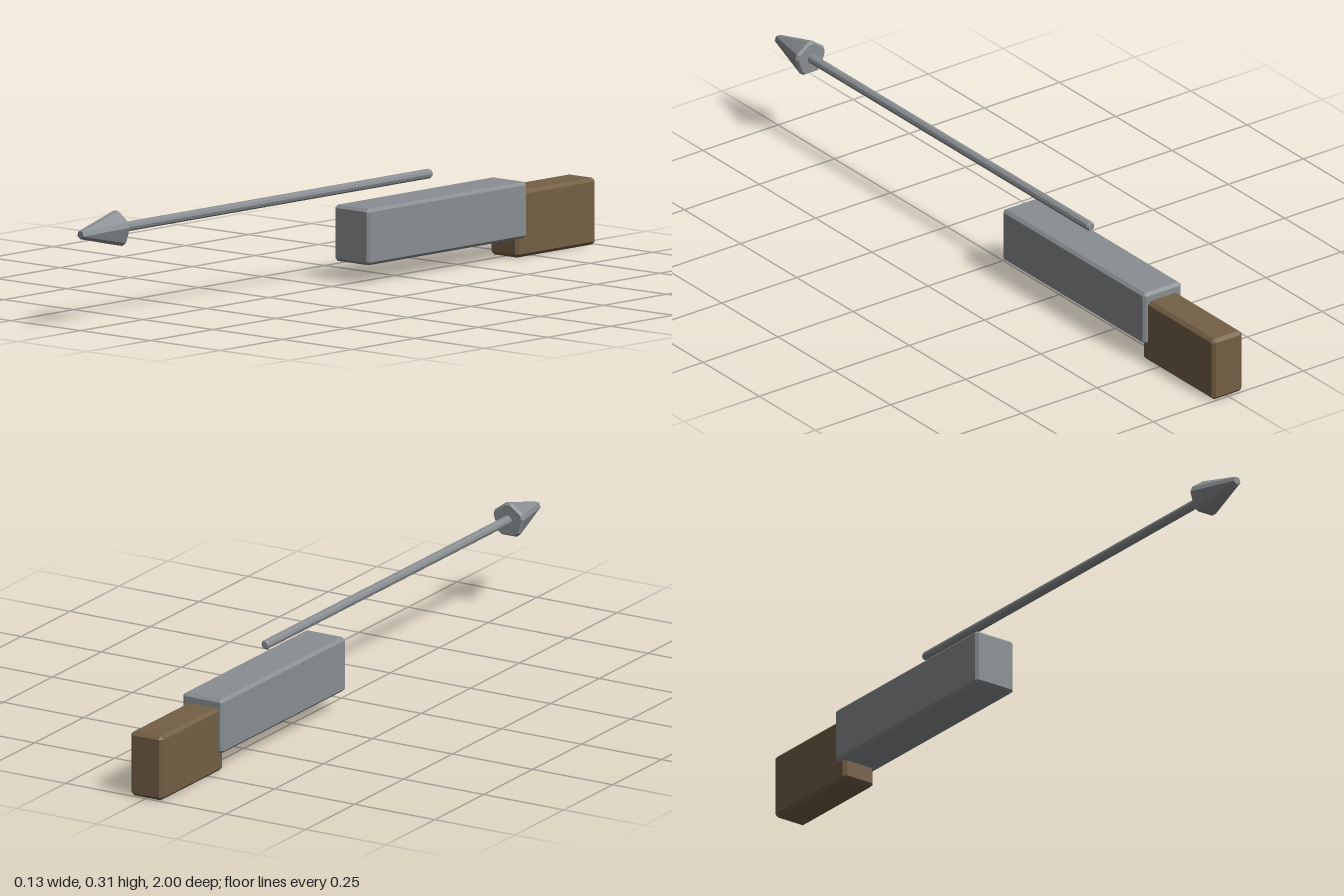
import * as THREE from 'three';
import { ConvexGeometry } from 'three/addons/geometries/ConvexGeometry.js';

// Box with a flat chamfer on every edge
function chamferBox(w, h, d, c) {
  const pts = [];
  for (const sx of [-1, 1]) for (const sy of [-1, 1]) for (const sz of [-1, 1]) {
    const x = w / 2, y = h / 2, z = d / 2;
    pts.push(
      new THREE.Vector3(sx * x, sy * (y - c), sz * (z - c)),
      new THREE.Vector3(sx * (x - c), sy * y, sz * (z - c)),
      new THREE.Vector3(sx * (x - c), sy * (y - c), sz * z));
  }
  return new ConvexGeometry(pts);
}

// Ring of points around z: a regular polygon whose corners are cut to width 2 * half
function cutRing(sides, apothem, half, z) {
  const pts = [];
  for (let i = 0; i < sides; i++) {
    const a = Math.PI / 2 + (i * 2 * Math.PI) / sides;
    for (const s of [-half, half]) {
      pts.push(new THREE.Vector3(
        Math.cos(a) * apothem - Math.sin(a) * s,
        Math.sin(a) * apothem + Math.cos(a) * s, z));
    }
  }
  return pts;
}

export function createModel() {
  const steel = new THREE.MeshStandardMaterial({ color: 0x8a8e92, flatShading: true });
  steel.name = 'steel grey';
  const wood = new THREE.MeshStandardMaterial({ color: 0x735f45, flatShading: true });
  wood.name = 'wood brown';

  const model = new THREE.Group();
  model.name = 'boltLauncher';
  const add = (name, geometry, material, y, z) => {
    const mesh = new THREE.Mesh(geometry, material);
    mesh.name = name;
    mesh.position.set(0, y, z);
    model.add(mesh);
  };

  // Body and stock
  add('body', chamferBox(0.126, 0.152, 0.634, 0.008), steel, 0.129, -0.394);
  add('stock', chamferBox(0.1, 0.18, 0.317, 0.009), wood, 0.09, -0.8415);

  // Shaft with chamfered ends
  const shaft = [[0.009, 0.003, -0.392], [0.0125, 0.004, -0.386], [0.0125, 0.004, 0.87]]
    .flatMap(([a, h, z]) => cutRing(5, a, h, z));
  add('shaft', new ConvexGeometry(shaft), steel, 0.259, 0);

  // Five-sided head with cut ridges and a blunt tip
  const head = [
    ...cutRing(5, 0.043, 0.0065, 0.85),
    ...cutRing(5, 0.049, 0.0075, 0.858),
    ...cutRing(5, 0.0095, 0.0067, 1.0),
  ];
  add('head', new ConvexGeometry(head), steel, 0.258, 0);

  return model;
}
